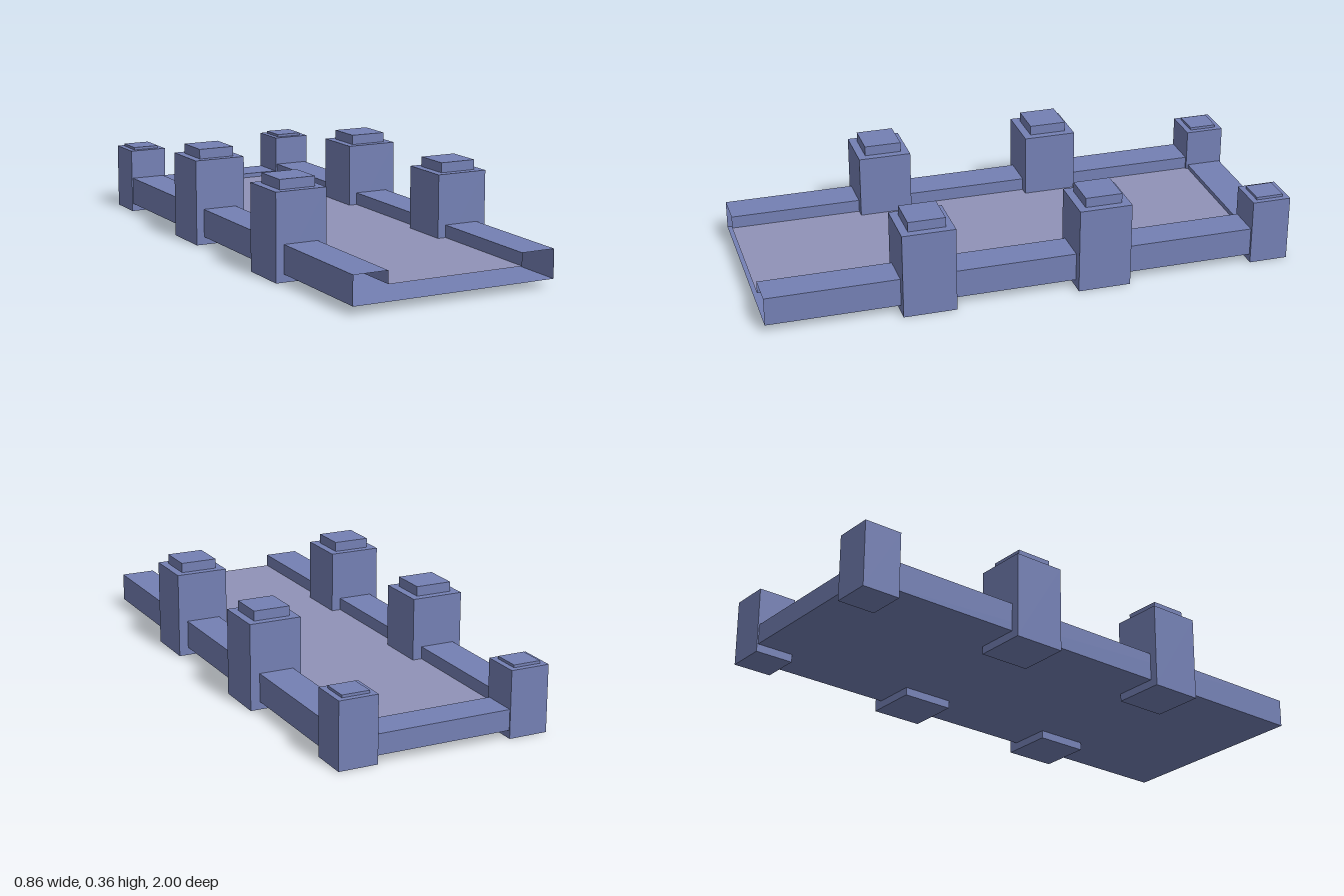
import * as THREE from 'three';

const stone = new THREE.MeshStandardMaterial({ color: 0x7480b4, flatShading: true, side: THREE.DoubleSide });
const paving = new THREE.MeshStandardMaterial({ color: 0x9092b8, flatShading: true, side: THREE.DoubleSide });

// Sweep an open counterclockwise [x, y] profile straight along z, leaving the ends open.
function sweep(profile, z0, z1) {
  const positions = [];
  for (let i = 0; i < profile.length - 1; i++) {
    const [ax, ay] = profile[i];
    const [bx, by] = profile[i + 1];
    positions.push(
      ax, ay, z1, ax, ay, z0, bx, by, z0,
      ax, ay, z1, bx, by, z0, bx, by, z1,
    );
  }
  const geometry = new THREE.BufferGeometry();
  geometry.setAttribute('position', new THREE.Float32BufferAttribute(positions, 3));
  geometry.computeVertexNormals();
  return geometry;
}

function part(name, geometry, material = stone) {
  const mesh = new THREE.Mesh(geometry, material);
  mesh.name = name;
  return mesh;
}

// Square pillar with a smaller square cap on top.
function pillar(name, x, z, width, height, capWidth, capHeight) {
  const group = new THREE.Group();
  group.name = name;
  const shaft = part('shaft', new THREE.BoxGeometry(width, height, width));
  shaft.position.y = height / 2;
  const cap = part('cap', new THREE.BoxGeometry(capWidth, capHeight, capWidth));
  cap.position.y = height + capHeight / 2;
  group.add(shaft, cap);
  group.position.set(x, 0, z);
  return group;
}

export function createModel() {
  const model = new THREE.Group();
  model.name = 'walledPlatform';

  const base = 0.03, floorY = 0.09, railY = 0.137, beamY = 0.107;
  const outL = -0.4, inL = -0.267, inR = 0.263, outR = 0.395;
  const front = 1, beamZ = -0.86, back = -0.995;

  // Side rails and underside as one hollow shell, open at the front
  model.add(part('railsAndUnderside', sweep([
    [inL, floorY], [inL, railY], [outL, railY], [outL, base],
    [outR, base], [outR, railY], [inR, railY], [inR, floorY],
  ], back, front)));

  // Low beam closing the back
  const beam = sweep([[-back, base], [-back, beamY], [-beamZ, beamY], [-beamZ, floorY]], inL, inR);
  model.add(part('backBeam', beam.rotateY(Math.PI / 2)));

  // Paved floor between the rails
  model.add(part('floor', sweep([[inR, floorY], [inL, floorY]], beamZ, front), paving));

  // Tall pillars along the rails, shorter posts at the back corners
  for (const [side, s] of [['left', 1], ['right', -1]]) {
    model.add(pillar(side + 'FrontPillar', s * 0.331, 0.404, 0.2, 0.326, 0.14, 0.037));
    model.add(pillar(side + 'MiddlePillar', s * 0.331, -0.26, 0.2, 0.326, 0.14, 0.037));
    model.add(pillar(side + 'BackPost', s * 0.331, -0.926, 0.148, 0.25, 0.104, 0.01));
  }
  return model;
}
